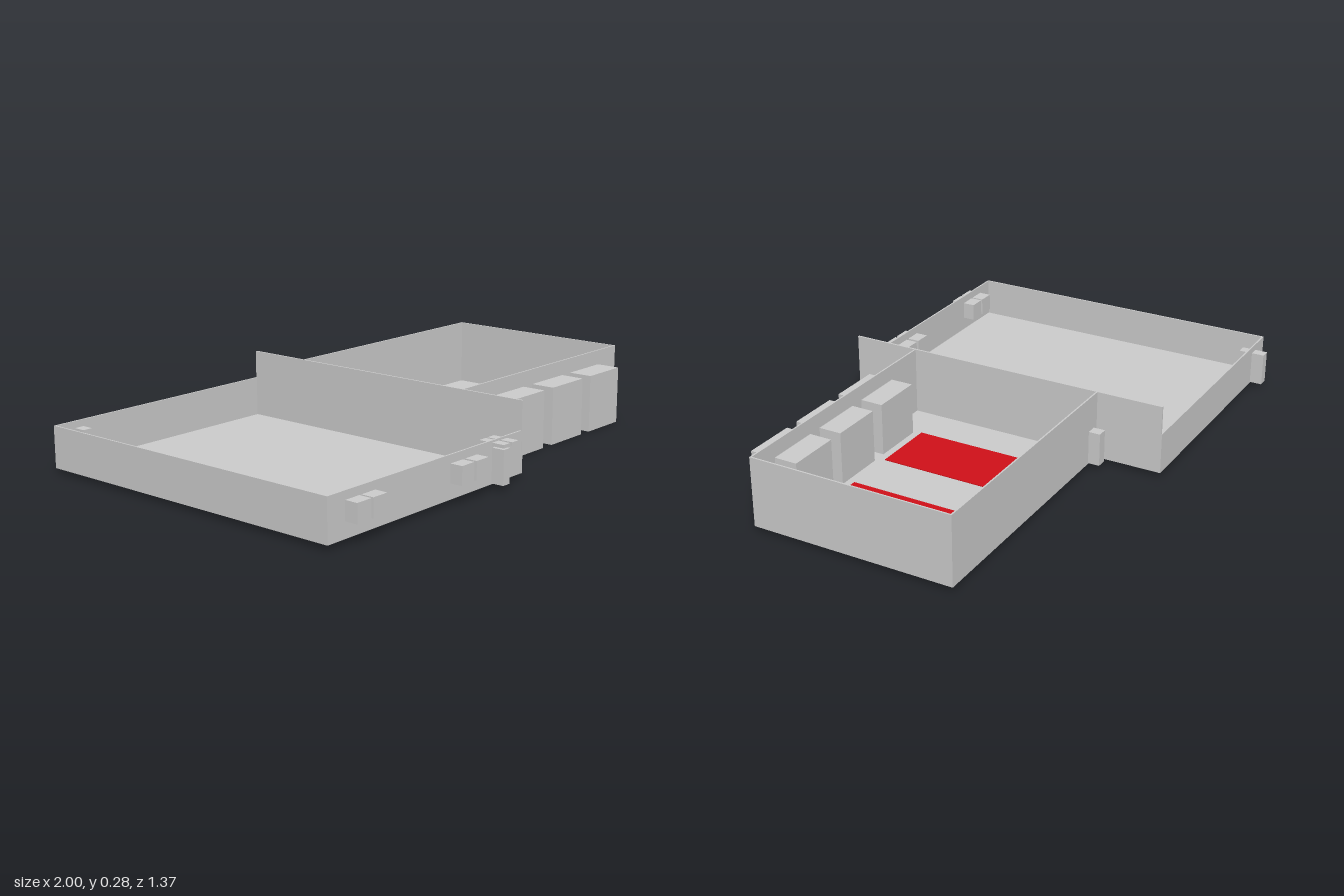
import * as THREE from 'three';

export function createModel() {
  const model = new THREE.Group();
  const grey = new THREE.MeshStandardMaterial({ color: 0xcccccc });
  const red = new THREE.MeshStandardMaterial({ color: 0xd01018 });

  // Box given by its extents along each axis
  function block(name, [x0, x1], [y0, y1], [z0, z1], material = grey) {
    const mesh = new THREE.Mesh(new THREE.BoxGeometry(x1 - x0, y1 - y0, z1 - z0), material);
    mesh.position.set((x0 + x1) / 2, (y0 + y1) / 2, (z0 + z1) / 2);
    mesh.name = name;
    model.add(mesh);
  }

  const t = 0.006; // wall thickness
  const base = 0.017;
  const floorTop = 0.021;

  // Low large hall and tall small hall, each open on top; the divider closes both
  const halls = [
    { name: 'lowHall', x: [-1, -0.002], depth: 0.638, top: 0.17, outer: [-1, -1 + t] },
    { name: 'tallHall', x: [-0.002, 0.998], depth: 0.384, top: 0.276, outer: [0.998 - t, 0.998] },
  ];
  for (const { name, x, depth, top, outer } of halls) {
    block(name + 'Floor', x, [base, floorTop], [-depth, depth]);
    block(name + 'FrontWall', x, [base, top], [depth - t, depth]);
    block(name + 'BackWall', x, [base, top], [-depth, -depth + t]);
    block(name + 'SideWall', outer, [base, top], [-depth + t, depth - t]);
  }
  block('dividingWall', [-0.009, -0.002], [base, 0.276], [-0.635, 0.639]);

  // Three loading doors through the front of the tall hall
  for (const x of [0.165, 0.421, 0.675]) {
    block('loadingDoor', [x, x + 0.2], [0, 0.219], [0.291, 0.477]);
  }

  // Paired windows in the front of the low hall
  for (const x of [-0.92, -0.846, -0.406, -0.328]) {
    block('window', [x, x + 0.065], [0.073, 0.14], [0.584, 0.686]);
  }

  // Front door with two small vents above it
  block('frontDoor', [-0.178, -0.141], [0.02, 0.145], [0.584, 0.686]);
  for (const x of [-0.178, -0.131]) {
    block('vent', [x, x + 0.036], [0.15, 0.162], [0.584, 0.686]);
  }

  // Back doors, one for each hall
  block('lowHallBackDoor', [-0.914, -0.876], [0.02, 0.145], [-0.686, -0.586]);
  block('tallHallBackDoor', [0.02, 0.06], [0.02, 0.145], [-0.428, -0.329]);

  // Red floor markings
  for (const x of [0.154, 0.594]) {
    block('floorMarking', [x, x + 0.246], [floorTop, 0.024], [-0.151, 0.261], red);
  }

  return model;
}
